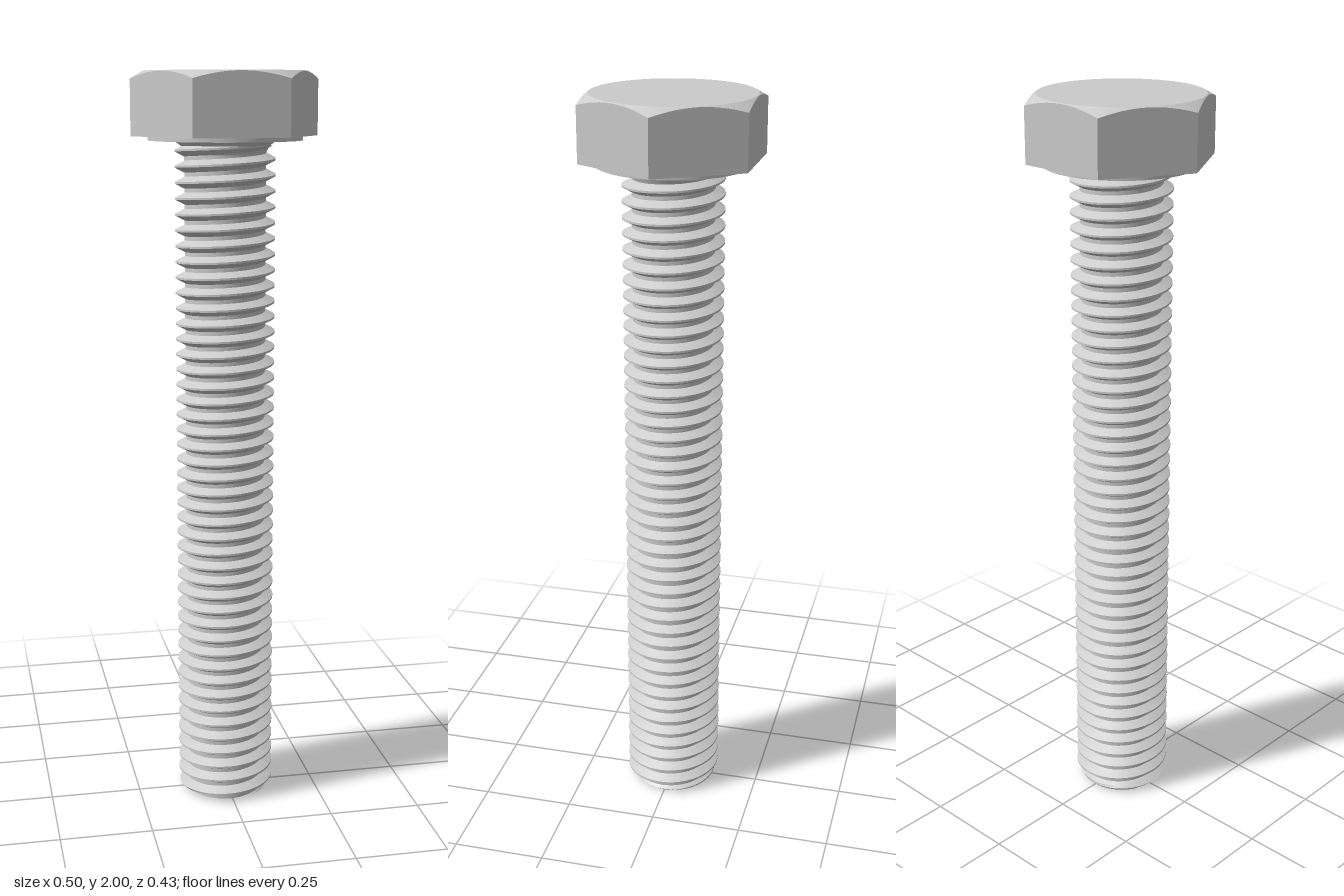
import * as THREE from 'three';
import { toCreasedNormals } from 'three/addons/utils/BufferGeometryUtils.js';

const material = new THREE.MeshStandardMaterial({ color: 0xcccccc });

// Surface from rows of rings: point(row, angle) gives [radius, height], rows running upwards on the outside.
function ringSurface(name, rows, cols, point) {
  const positions = [];
  const at = (i, j) => {
    const angle = (j / cols) * Math.PI * 2;
    const [r, y] = point(i, angle);
    return new THREE.Vector3(r * Math.sin(angle), y, r * Math.cos(angle));
  };
  const addTriangle = (a, b, c) => {
    const area = b.clone().sub(a).cross(c.clone().sub(a)).length();
    if (area > 1e-9) for (const v of [a, b, c]) positions.push(v.x, v.y, v.z);
  };
  for (let i = 0; i < rows - 1; i++) {
    for (let j = 0; j < cols; j++) {
      const a = at(i, j), b = at(i, j + 1), c = at(i + 1, j + 1), d = at(i + 1, j);
      addTriangle(a, b, c);
      addTriangle(a, c, d);
    }
  }
  const geometry = new THREE.BufferGeometry();
  geometry.setAttribute('position', new THREE.Float32BufferAttribute(positions, 3));
  const mesh = new THREE.Mesh(toCreasedNormals(geometry, 0.5), material);
  mesh.name = name;
  return mesh;
}

// Hexagonal head with a conical chamfer cutting arcs into the six sides
function makeHead() {
  const apothem = 0.2156, topRadius = 0.213, top = 2, bottom = 1.835;
  const hexRadius = (angle) => {
    const sector = Math.PI / 3;
    const k = Math.round(angle / sector);
    return apothem / Math.cos(angle - k * sector);
  };
  return ringSurface('hexHead', 5, 72, (row, angle) => {
    const r = hexRadius(angle);
    return [
      [0, bottom],
      [r, bottom],
      [r, top - (r - topRadius) * Math.tan(Math.PI / 6)],
      [topRadius, top],
      [0, top],
    ][row];
  });
}

// Right-handed helical thread with a chamfered, flat lower end
function makeThread() {
  const pitch = 0.04146, minor = 0.1073, major = 0.1325, height = 1.812;
  const steps = [0, 0.125, 0.25, 0.40625, 0.5625, 0.6875, 0.84375];
  const turns = Math.ceil(height / pitch) + 1;
  const profile = (phase) => {
    const t = phase - Math.floor(phase);
    if (t < 0.25) return minor;
    if (t < 0.5625) return minor + (major - minor) * (t - 0.25) / 0.3125;
    if (t < 0.6875) return major;
    return major - (major - minor) * (t - 0.6875) / 0.3125;
  };
  return ringSurface('threadedShank', turns * steps.length + 1, 64, (row, angle) => {
    if (row === 0) return [0, 0];
    const n = row - 1, lead = angle / (Math.PI * 2);
    const turn = Math.floor(n / steps.length) - 1;
    const y = THREE.MathUtils.clamp((turn + steps[n % steps.length] + lead) * pitch, 0, height);
    return [Math.min(profile(y / pitch - lead), 0.113 + y), y];
  });
}

export function createModel() {
  const group = new THREE.Group();
  group.name = 'hexBolt';

  // Raised bearing face and the fillet joining it to the shank
  const washerProfile = [[0, 1.824], [0.203, 1.824], [0.203, 1.836]];
  const filletProfile = [[0.106, 1.785], [0.11, 1.798], [0.118, 1.811], [0.129, 1.819], [0.142, 1.824]];

  group.add(
    makeHead(),
    ringSurface('bearingFace', washerProfile.length, 72, (row) => washerProfile[row]),
    ringSurface('underHeadFillet', filletProfile.length, 64, (row) => filletProfile[row]),
    makeThread(),
  );
  return group;
}
